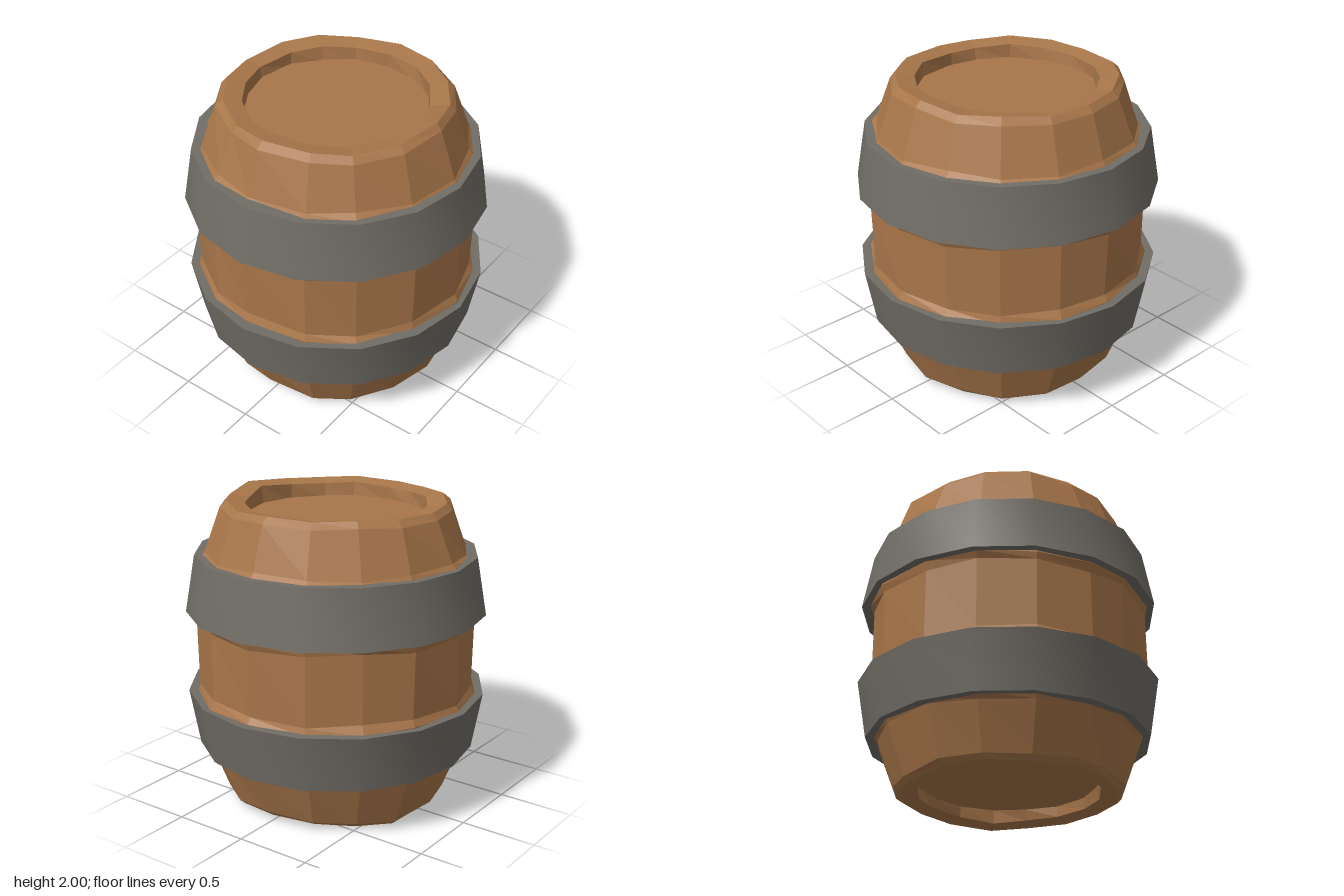
import * as THREE from 'three';
import { toCreasedNormals } from 'three/addons/utils/BufferGeometryUtils.js';

const SIDES = 16;
const wood = new THREE.MeshStandardMaterial({ color: 0xa8764a, flatShading: true });
const iron = new THREE.MeshStandardMaterial({ color: 0x716d66 });

// Small repeatable noise in -1..1
function seeded(seed) {
  let s = seed;
  return () => {
    s = (s * 16807) % 2147483647;
    return (s / 2147483647) * 2 - 1;
  };
}

function lathe(profile) {
  return new THREE.LatheGeometry(profile.map(([r, y]) => new THREE.Vector2(r, y)), SIDES);
}

// Uneven heights of the stave ends, one per stave edge
const topEnd = [1.97, 1.98, 1.97, 1.98, 2.0, 1.97, 1.98, 1.97, 1.98, 1.97, 1.98, 1.97, 1.96, 1.97, 1.98, 1.965];
const bottomEnd = [0.04, 0.03, 0.02, 0.03, 0.03, 0.03, 0.01, 0.03, 0.04, 0.03, 0.02, 0.0, 0.03, 0.03, 0.02, 0.035];

// Hand-hewn body: a faceted lathe with slightly irregular stave edges
function staves() {
  const profile = [
    [0.57, 0.12], [0.58, 0.05], [0.69, 0.03], [0.725, 0.06],
    [0.84, 0.35], [0.87, 0.39], [0.92, 0.73], [0.895, 0.78],
    [0.9, 1.22], [0.92, 1.27], [0.87, 1.62], [0.835, 1.66],
    [0.735, 1.93], [0.695, 1.97], [0.58, 1.95], [0.57, 1.85],
  ];
  const geometry = lathe(profile);
  const pos = geometry.attributes.position;
  const rand = seeded(4242);
  const twist = Array.from({ length: SIDES }, () => rand() * 0.035);
  const bulge = Array.from({ length: SIDES }, () => rand() * 0.01);
  const n = profile.length;
  for (let i = 0; i <= SIDES; i++) {
    const k = i % SIDES; // the seam repeats the first edge
    const angle = (k / SIDES) * Math.PI * 2 + twist[k];
    for (let j = 0; j < n; j++) {
      let [r, y] = profile[j];
      r += bulge[k] + 0.006 * Math.sin(k * 2.3 + j * 1.7);
      if (j === 2) y = bottomEnd[k];
      else if (j === n - 3) y = topEnd[k];
      else if (j === 1 || j === 3) y += bottomEnd[k] - 0.03;
      else if (j === n - 2 || j === n - 4) y += topEnd[k] - 1.97;
      else if (j > 3 && j < n - 4) y += 0.012 * Math.sin(k * 1.9 + j);
      pos.setXYZ(i * n + j, r * Math.sin(angle), y, r * Math.cos(angle));
    }
  }
  return geometry.toNonIndexed();
}

// Solid band, wide edge towards the middle of the barrel
function hoop() {
  const geometry = lathe([[0.8, 0], [0.97, 0], [0.905, 0.37], [0.8, 0.37], [0.8, 0]]);
  return toCreasedNormals(geometry, Math.PI / 6);
}

export function createModel() {
  const model = new THREE.Group();
  const add = (name, geometry, material) => {
    const mesh = new THREE.Mesh(geometry, material);
    mesh.name = name;
    model.add(mesh);
    return mesh;
  };

  add('staves', staves(), wood);

  // Recessed end boards
  const board = new THREE.CircleGeometry(0.6, SIDES);
  const lid = add('lid', board, wood);
  lid.rotation.x = -Math.PI / 2;
  lid.position.y = 1.87;
  const base = add('base', board, wood);
  base.rotation.x = Math.PI / 2;
  base.position.y = 0.1;
  base.position.y = 0.125;

  // Metal hoops, the lower one turned upside down
  const band = hoop();
  add('upperHoop', band, iron).position.y = 1.27;
  const lower = add('lowerHoop', band, iron);
  lower.rotation.x = Math.PI;
  lower.position.y = 0.735;

  return model;
}
